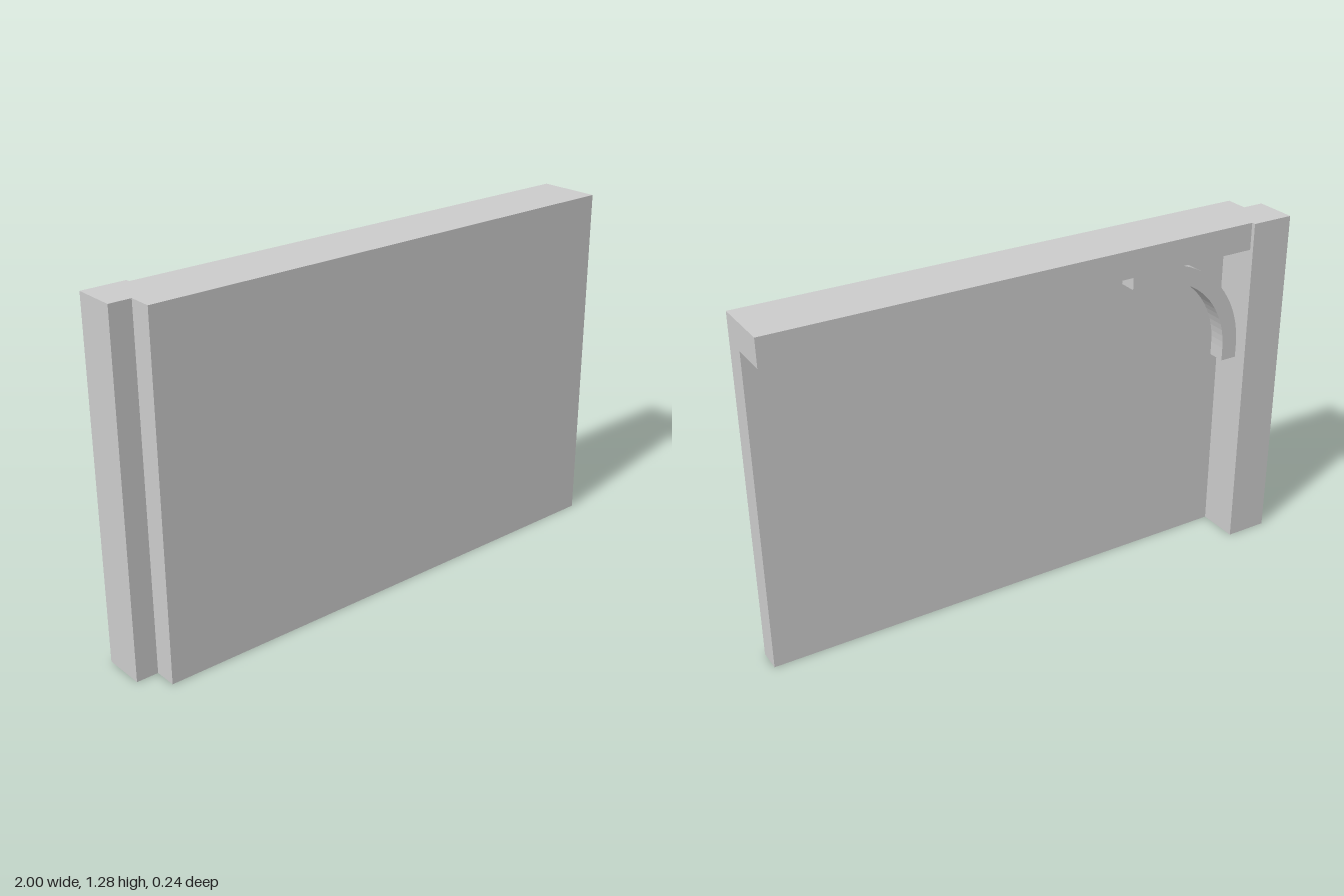
import * as THREE from 'three';

const material = new THREE.MeshStandardMaterial({ color: 0xcccccc });

// Box given by its min and max corners
function block(name, [x0, y0, z0], [x1, y1, z1]) {
  const mesh = new THREE.Mesh(new THREE.BoxGeometry(x1 - x0, y1 - y0, z1 - z0), material);
  mesh.position.set((x0 + x1) / 2, (y0 + y1) / 2, (z0 + z1) / 2);
  mesh.name = name;
  return mesh;
}

// Curved knee brace between post and beam, with short straight ends
function kneeBrace(postX, beamY) {
  const width = 0.475, height = 0.43, thick = 0.063, depth = 0.065, radius = 0.38;
  const cx = postX + radius, cy = beamY - radius;
  const shape = new THREE.Shape();
  shape.moveTo(postX, beamY - height);
  shape.lineTo(postX + thick, beamY - height);
  shape.absarc(cx, cy, radius - thick, Math.PI, Math.PI / 2, true);
  shape.lineTo(postX + width, beamY - thick);
  shape.lineTo(postX + width, beamY);
  shape.absarc(cx, cy, radius, Math.PI / 2, Math.PI, false);
  shape.closePath();
  const geometry = new THREE.ExtrudeGeometry(shape, { depth, bevelEnabled: false, curveSegments: 10 });
  const mesh = new THREE.Mesh(geometry, material);
  mesh.position.z = -0.07;
  mesh.name = 'kneeBrace';
  return mesh;
}

export function createModel() {
  const group = new THREE.Group();
  group.name = 'framedWall';
  const height = 1.28, postX = -0.84, beamY = 1.18, panelBack = 0.035;

  // Cladding on the front, notched over the post
  group.add(block('panel', [-0.92, 0, panelBack], [1, height, 0.12]));
  // Corner post and top beam behind it
  group.add(block('post', [-1, 0, -0.122], [postX, height, panelBack]));
  group.add(block('beam', [postX, beamY, -0.107], [1, height, panelBack]));
  group.add(kneeBrace(postX, beamY));
  return group;
}
